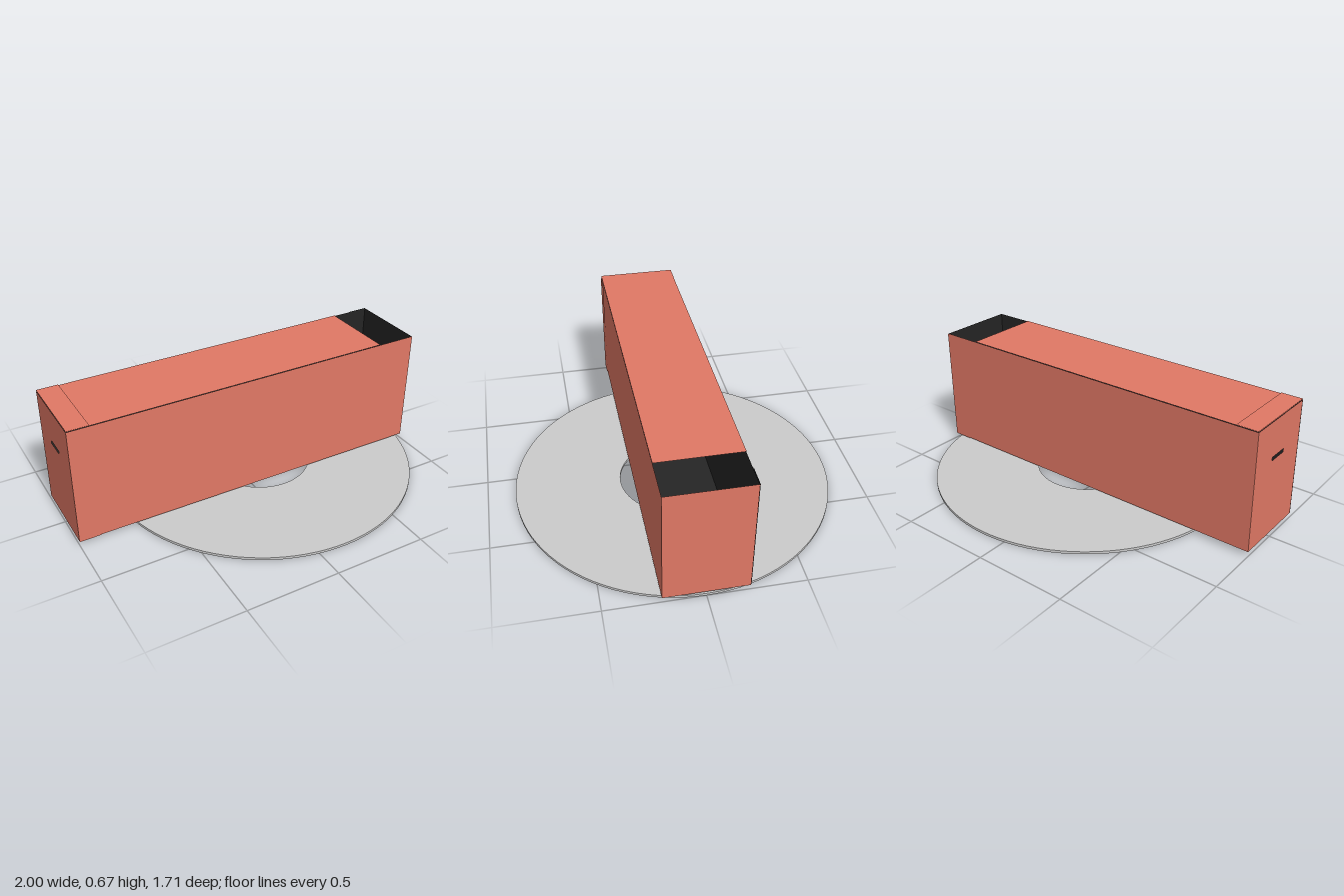
import * as THREE from 'three';

const red = new THREE.MeshStandardMaterial({ color: 0xe17865 });
const black = new THREE.MeshStandardMaterial({ color: 0x252525 });
const grey = new THREE.MeshStandardMaterial({ color: 0xcccccc });

// Flat rectangle facing +z, optionally with a rectangular hole [x, y, w, h]
function sheet(w, h, hole) {
  const rect = (path, x, y, a, b) => path
    .moveTo(x - a / 2, y - b / 2).lineTo(x + a / 2, y - b / 2)
    .lineTo(x + a / 2, y + b / 2).lineTo(x - a / 2, y + b / 2).closePath();
  const shape = rect(new THREE.Shape(), 0, 0, w, h);
  if (hole) shape.holes.push(rect(new THREE.Path(), ...hole));
  return new THREE.ShapeGeometry(shape);
}

// Paper-thin panel: red outside, black inside
function panel(name, w, h, pos, rot, hole) {
  const group = new THREE.Group();
  group.name = name;
  const outer = new THREE.Mesh(sheet(w, h, hole), red);
  outer.name = name + 'Outside';
  const inner = new THREE.Mesh(sheet(w, h, hole && [-hole[0], ...hole.slice(1)]), black);
  inner.name = name + 'Lining';
  inner.rotation.y = Math.PI;
  inner.position.z = -0.002;
  group.add(outer, inner);
  group.position.set(...pos);
  group.rotation.set(...rot);
  return group;
}

export function createModel() {
  const model = new THREE.Group();
  const y0 = 0.027, y1 = 0.666, H = y1 - y0, D = 0.43;
  const midY = (y0 + y1) / 2, Z = D / 2, q = Math.PI / 2;
  const flap = 0.113, roofEnd = 0.78;

  // Flat ring underneath
  const R = 0.853;
  const ringShape = new THREE.Shape().absarc(0, 0, R, 0, Math.PI * 2);
  ringShape.holes.push(new THREE.Path().absarc(0, 0, 0.285, 0, Math.PI * 2, true));
  const ringGeo = new THREE.ExtrudeGeometry(ringShape, { depth: 0.014, bevelEnabled: false, curveSegments: 48 });
  const ring = new THREE.Mesh(ringGeo.rotateX(-q), grey);
  ring.name = 'baseRing';
  ring.position.x = 1 - R;
  model.add(ring);

  // Long box: open at one end of the roof, slot in the far end, hole in the floor
  const box = new THREE.Group();
  box.name = 'box';
  box.add(
    panel('frontWall', 2, H, [0, midY, Z], [0, 0, 0]),
    panel('backWall', 2, H, [0, midY, -Z], [0, Math.PI, 0]),
    panel('leftEndWall', D, H, [1, midY, 0], [0, q, 0]),
    panel('rightEndWall', D, H, [-1, midY, 0], [0, -q, 0], [0, 0.115, 0.11, 0.018]),
    panel('roof', 1 + roofEnd, D, [(roofEnd - 1) / 2, y1 + 0.002, 0], [-q, 0, 0]),
    panel('floor', 2, D, [0, y0, 0], [q, 0, 0], [0.77, 0, 0.17, 0.17])
  );
  model.add(box);

  // Overlapping glue flaps at the ends
  const flaps = new THREE.Group();
  flaps.name = 'flaps';
  flaps.add(
    panel('roofFlap', flap, D, [-1 + flap / 2, y1 + 0.006, 0], [-q, 0, 0]),
    panel('frontFlap', flap, H, [-1 + flap / 2, midY, Z + 0.004], [0, 0, 0]),
    panel('backFlap', flap, H, [1 - flap / 2, midY, -Z - 0.004], [0, Math.PI, 0])
  );
  model.add(flaps);

  return model;
}
